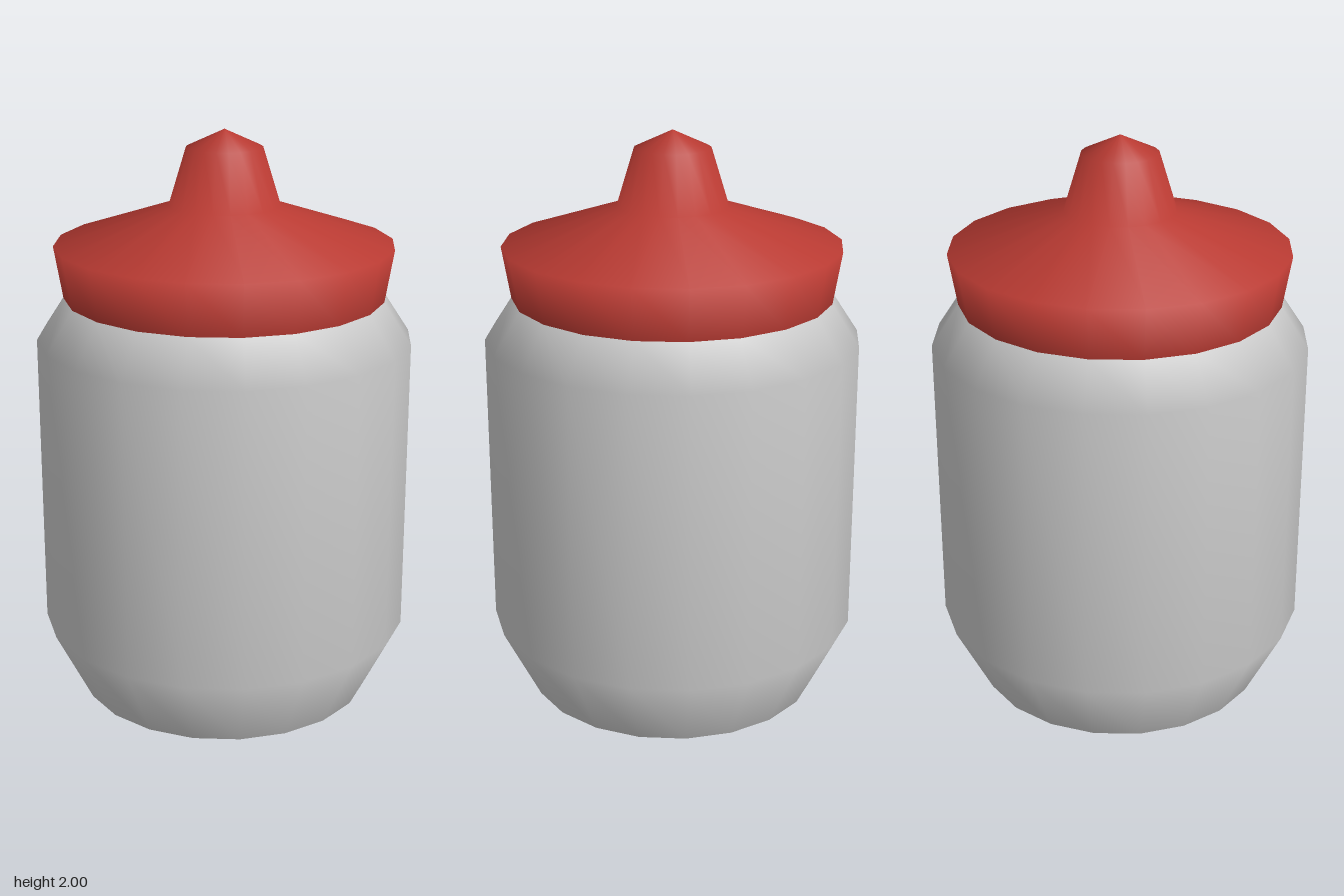
import * as THREE from 'three';

const SIDES = 20;

// Smooth turned part from [radius, height] pairs, bottom to top
function turned(name, profile, material) {
  const points = profile.map(([r, y]) => new THREE.Vector2(r, y));
  const mesh = new THREE.Mesh(new THREE.LatheGeometry(points, SIDES), material);
  mesh.name = name;
  return mesh;
}

export function createModel() {
  const group = new THREE.Group();
  group.name = 'jar';
  const grey = new THREE.MeshStandardMaterial({ color: 0xcccccc });
  const red = new THREE.MeshStandardMaterial({ color: 0xb83a32 });

  // Jar wall with tapered foot and shoulder
  group.add(turned('jarBody', [[0.515, 0], [0.645, 0.26], [0.645, 1.29], [0.55, 1.435]], grey));

  // Flat underside with its own hard edge
  const base = new THREE.Mesh(new THREE.CircleGeometry(0.515, SIDES), grey);
  base.rotation.x = Math.PI / 2;
  base.name = 'jarBase';
  group.add(base);

  // Flared lid rising to a knob
  group.add(turned('lid', [[0.55, 1.435], [0.58, 1.615], [0.19, 1.745], [0.13, 1.94], [0, 2]], red));

  return group;
}
